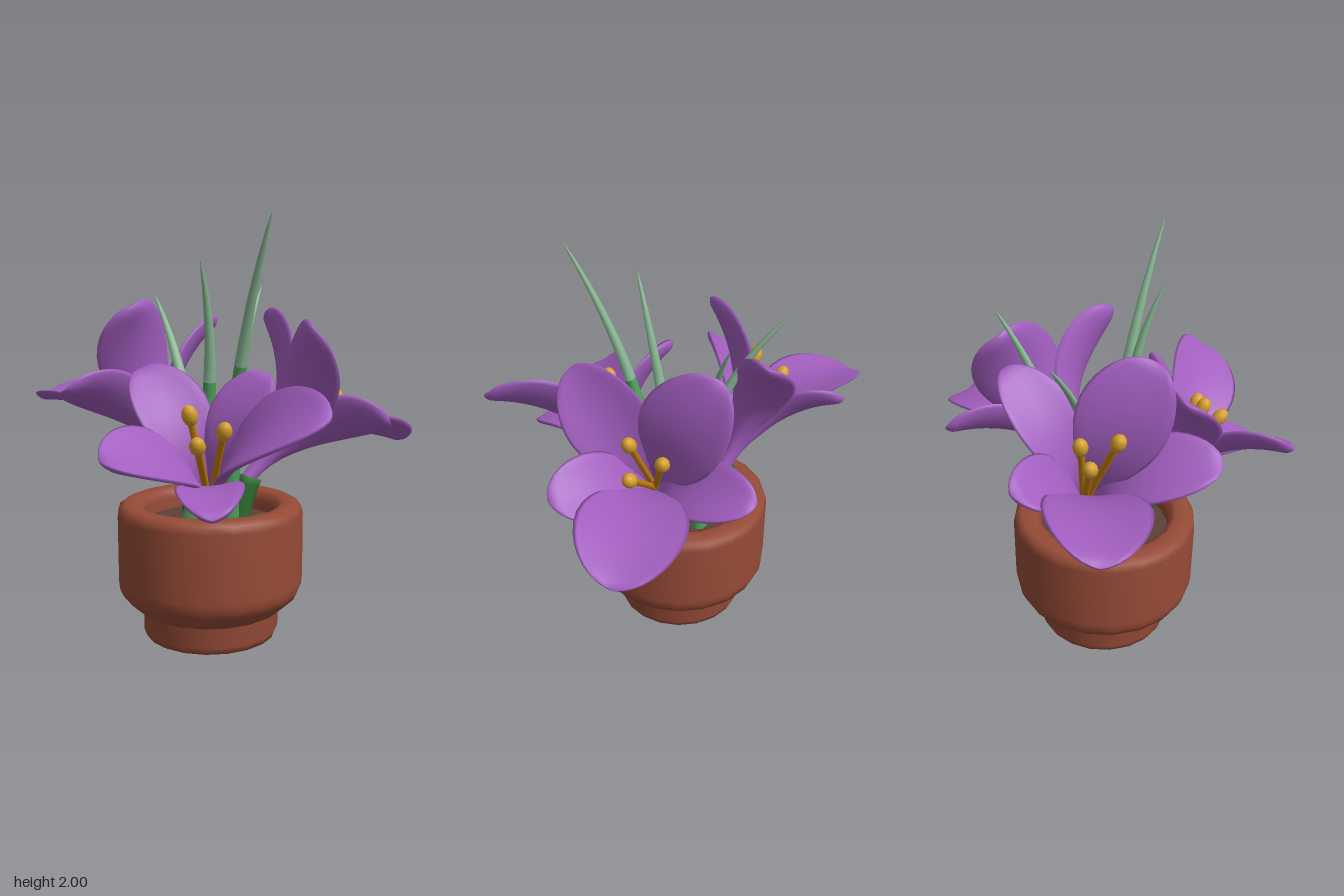
import * as THREE from 'three';

const mat = (name, color) => {
  const m = new THREE.MeshStandardMaterial({ color });
  m.name = name;
  return m;
};
const V = (x, y, z) => new THREE.Vector3(x, y, z);

// Closed surface through rings of points (each ring has the same count)
function loft(rings) {
  const pos = [], idx = [], m = rings[0].length;
  rings.forEach(r => r.forEach(p => pos.push(p.x, p.y, p.z)));
  for (let i = 0; i < rings.length - 1; i++) {
    for (let j = 0; j < m; j++) {
      const a = i * m + j, b = i * m + (j + 1) % m;
      idx.push(a, a + m, b, b, a + m, b + m);
    }
  }
  const g = new THREE.BufferGeometry();
  g.setAttribute('position', new THREE.Float32BufferAttribute(pos, 3));
  g.setIndex(idx);
  g.computeVertexNormals();
  return g;
}

// Rings along a curve: width(t) and thick(t) are half sizes, cup lifts the edges
function sweep(curve, sideHint, ts, sides, width, thick, cup = 0) {
  return loft(ts.map(t => {
    const p = curve.getPoint(t), tan = curve.getTangent(t);
    const side = sideHint.clone().addScaledVector(tan, -sideHint.dot(tan)).normalize();
    const nor = side.clone().cross(tan);
    const w = width(t), h = thick(t);
    return Array.from({ length: sides }, (_, j) => {
      const a = j / sides * Math.PI * 2, c = Math.cos(a);
      return p.clone().addScaledVector(side, w * c)
        .addScaledVector(nor, h * Math.sin(a) - cup * w * c * c);
    });
  }));
}

const range = (n, a = 0, b = 1) => Array.from({ length: n + 1 }, (_, i) => a + (b - a) * i / n);

// Petal outline: narrow claw, broad blade, round tip
function petalWidth(t) {
  const k = 0.71;
  if (t > k) return Math.sqrt(Math.max(0, 1 - ((t - k) / (1 - k)) ** 2));
  const s = Math.pow(t / k, 1.15);
  return 0.13 + 0.87 * s * s * (3 - 2 * s);
}

export function createModel() {
  const terracotta = mat('terracotta', 0x964b37);
  const soilBrown = mat('soil brown', 0x5b4238);
  const petalPurple = mat('petal purple', 0xa25ebf);
  const leafGreen = mat('leaf green', 0x4fa05b);
  const paleGreen = mat('pale leaf green', 0x8ab894);
  const darkGreen = mat('dark stem green', 0x2f6f30);
  const filamentOrange = mat('filament orange', 0xc8820f);
  const antherGold = mat('anther gold', 0xd6a02b);

  const root = new THREE.Group();
  const add = (parent, name, geo, material) => {
    const mesh = new THREE.Mesh(geo, material);
    mesh.name = name;
    parent.add(mesh);
    return mesh;
  };

  // Pot with a stepped foot and a rounded rim
  const profile = [
    [0, 0], [0.29, 0], [0.32, 0.012], [0.333, 0.045], [0.333, 0.14], [0.345, 0.147],
    [0.36, 0.155], [0.43, 0.22], [0.448, 0.26], [0.453, 0.3], [0.453, 0.62], [0.443, 0.655],
    [0.415, 0.672], [0.36, 0.672], [0.33, 0.655], [0.32, 0.62], [0.32, 0.54],
  ].map(p => new THREE.Vector2(...p));
  const pot = add(root, 'pot', new THREE.LatheGeometry(profile, 20), terracotta);
  pot.position.set(-0.13, 0, -0.027);
  const soil = add(root, 'soil', new THREE.CylinderGeometry(0.33, 0.33, 0.04, 20), soilBrown);
  soil.position.set(-0.13, 0.55, -0.027);

  // Grass-like leaves: green below, pale toward the point
  const leaves = [
    [V(-0.09, 0.55, 0.09), V(-0.1, 1.3, 0.1), V(-0.14, 2.0, 0.49)],
    [V(-0.25, 0.55, -0.02), V(-0.1, 1.25, 0.05), V(-0.3, 1.81, 0.18)],
    [V(-0.16, 0.55, -0.09), V(-0.16, 1.2, -0.1), V(-0.15, 1.66, -0.53)],
    [V(0.02, 0.55, -0.13), V(0.02, 1.2, -0.1), V(0.32, 1.71, -0.24)],
  ];
  for (const pts of leaves) {
    const leaf = new THREE.Group();
    leaf.name = 'leaf';
    root.add(leaf);
    const curve = new THREE.QuadraticBezierCurve3(...pts);
    const r = t => 0.002 + 0.048 * Math.pow(1 - t, 0.65);
    const part = (name, a, b, m) => add(leaf, name,
      sweep(curve, V(1, 0, 0.3), range(10, a, b), 8, r, t => r(t) * 0.85), m);
    part('leafBlade', 0, 0.54, leafGreen);
    part('leafTip', 0.54, 1, paleGreen);
  }

  // Each flower: base point, axis, three anthers and five petals
  // (petal: tip, relative width and, for a twisted one, its sideways direction)
  const flowers = [
    {
      base: V(-0.27, 0.665, 0.2), axis: V(-0.19, 0.46, 0.28), foot: V(-0.24, 0.54, 0.16),
      petals: [[V(-0.6, 0.81, 0.76), 0.95], [V(-0.91, 1.02, 0.42), 1], [V(-0.17, 1.2, 0.94), 0.9],
        [V(-0.52, 1.34, 0.02), 0.95], [V(-0.12, 1.33, 0.44), 0.8]],
      anthers: [V(-0.46, 1.16, 0.35), V(-0.5, 1.05, 0.48), V(-0.37, 1.1, 0.48)],
    },
    {
      base: V(0, 0.775, 0.09), axis: V(0.49, 0.47, 0.03), foot: V(-0.05, 0.54, 0.09),
      petals: [[V(0.91, 0.92, 0.22), 1.05], [V(0.51, 1.08, 0.54), 0.95], [V(0.55, 1.1, -0.37), 0.78],
        [V(0.11, 1.52, 0.46), 0.95, V(0.12, -0.7, 0.62)], [V(0.33, 1.57, -0.22), 0.95]],
      anthers: [V(0.42, 1.21, 0.04), V(0.47, 1.16, 0.18), V(0.33, 1.25, 0.19)],
    },
    {
      base: V(-0.13, 0.8, -0.24), axis: V(-0.24, 0.53, -0.28), foot: V(-0.12, 0.54, -0.21),
      petals: [[V(-0.62, 1.13, -0.93), 1], [V(-0.14, 1.23, -0.82), 0.9], [V(-0.79, 1.24, -0.19), 0.85],
        [V(0.16, 1.54, -0.42), 0.75], [V(-0.45, 1.62, -0.17), 0.95]],
      anthers: [V(-0.34, 1.25, -0.53), V(-0.24, 1.28, -0.44), V(-0.4, 1.33, -0.4)],
    },
  ];
  const petalSteps = range(18).map(s => Math.sin(s * Math.PI / 2));

  for (const { base, axis, foot, petals, anthers } of flowers) {
    const flower = new THREE.Group();
    flower.name = 'flower';
    root.add(flower);
    axis.normalize();

    // Stem cup holding the petals
    const top = base.clone().addScaledVector(axis, 0.03);
    const stem = new THREE.QuadraticBezierCurve3(foot, foot.clone().lerp(top, 0.5).add(V(0, 0.03, 0)), top);
    const rs = t => t > 0.999 ? 0.01 : 0.042 + 0.02 * t;
    add(flower, 'stem', sweep(stem, V(1, 0, 0), [...range(6, 0, 0.99), 1], 12, rs, rs), darkGreen);

    // Petals curve up along the axis, then flare out
    for (const [tip, scale, twist] of petals) {
      const rel = tip.clone().sub(base), len = rel.length();
      const radial = rel.clone().addScaledVector(axis, -rel.dot(axis)).normalize();
      const curve = new THREE.QuadraticBezierCurve3(
        base.clone().addScaledVector(radial, 0.025),
        base.clone().addScaledVector(axis, len * 0.58).addScaledVector(radial, 0.03), tip);
      const half = (0.31 * len - 0.055) * scale;
      const geo = sweep(curve, twist ?? axis.clone().cross(radial), petalSteps, 16,
        t => half * petalWidth(t),
        t => 0.025 * Math.min(1, 2 * petalWidth(t)), 0.28);
      add(flower, 'petal', geo, petalPurple);
    }

    // Stamens with oval anthers
    for (const end of anthers) {
      const start = base.clone().addScaledVector(axis, 0.05);
      const curve = new THREE.QuadraticBezierCurve3(start,
        start.clone().lerp(end, 0.5).addScaledVector(axis, 0.03), end);
      const r = () => 0.016;
      add(flower, 'filament', sweep(curve, V(0.3, 0.1, 1), range(8), 8, r, r), filamentOrange);
      const anther = add(flower, 'anther', new THREE.SphereGeometry(0.035, 12, 8), antherGold);
      anther.position.copy(end);
      anther.scale.y = 1.4;
      anther.quaternion.setFromUnitVectors(V(0, 1, 0), curve.getTangent(1));
    }
  }
  return root;
}
